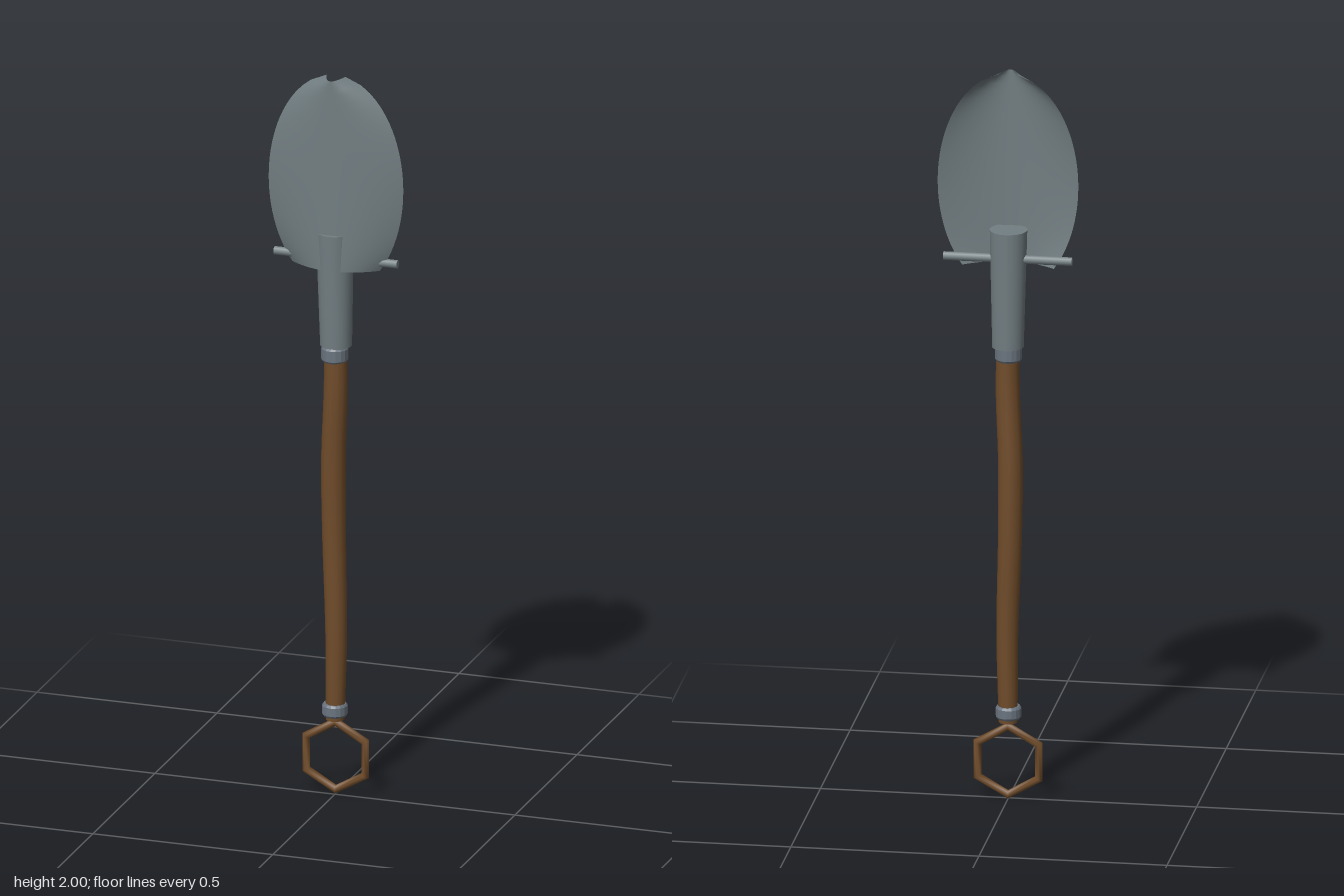
import * as THREE from 'three';

const mat = (name, color, side = THREE.FrontSide) => {
  const m = new THREE.MeshStandardMaterial({ color, side });
  m.name = name;
  return m;
};

export function createModel() {
  const group = new THREE.Group();
  group.name = 'shovel';
  const steel = mat('steel', 0x727e82, THREE.DoubleSide);
  const band = mat('band steel', 0x6a747f);
  const wood = mat('wood', 0x704c2a);

  const add = (name, geometry, material, x = 0, y = 0, z = 0) => {
    const mesh = new THREE.Mesh(geometry, material);
    mesh.name = name;
    mesh.position.set(x, y, z);
    group.add(mesh);
    return mesh;
  };

  // Blade: elliptical outline, each row an equally deep parabola bowed forward
  const blade = new THREE.PlaneGeometry(2, 1, 24, 28);
  const p = blade.attributes.position;
  for (let i = 0; i < p.count; i++) {
    const u = p.getX(i);
    const y = 1.735 + p.getY(i) * 0.53;
    const halfWidth = 0.187 * Math.sqrt(1 - ((y - 1.7) / 0.303) ** 2);
    p.setXYZ(i, u * halfWidth, y, -0.009 + 0.047 * (1 - u * u));
  }
  blade.computeVertexNormals();
  add('blade', blade, steel);

  // Socket: tapered tube leaning slightly forward at the top
  const socket = new THREE.CylinderGeometry(0.05, 0.042, 0.32, 20);
  const s = socket.attributes.position;
  for (let i = 0; i < s.count; i++) s.setZ(i, s.getZ(i) - 0.005 + s.getY(i) * 0.03);
  add('socket', socket, steel, 0, 1.41, 0);

  // Foot bar behind the blade
  const bar = new THREE.CylinderGeometry(0.012, 0.012, 0.342, 8);
  bar.rotateZ(Math.PI / 2);
  add('footBar', bar, steel, 0, 1.493, -0.011);

  // Handle: slightly crooked shaft following a curve
  const path = new THREE.CatmullRomCurve3([
    [0.001, 0.21, 0], [0.003, 0.45, -0.002], [-0.005, 0.72, -0.008],
    [-0.006, 0.93, -0.006], [0.002, 1.12, 0], [0.002, 1.27, 0],
  ].map((a) => new THREE.Vector3(...a)));
  const handle = new THREE.CylinderGeometry(1, 1, 1, 14, 24);
  const h = handle.attributes.position;
  for (let i = 0; i < h.count; i++) {
    const t = h.getY(i) + 0.5;
    const c = path.getPoint(t);
    const r = 0.025 + 0.005 * t + 0.005 * Math.sin(Math.PI * t);
    h.setXYZ(i, c.x + h.getX(i) * r, c.y, c.z + h.getZ(i) * r);
  }
  handle.computeVertexNormals();
  add('handle', handle, wood);

  // Metal bands with chamfered rims
  const addBand = (name, y, r, height) => {
    const e = height / 2;
    const profile = [[0, -e], [r - 0.004, -e], [r, -e + 0.006], [r, e - 0.006], [r - 0.004, e], [0, e]];
    const lathe = new THREE.LatheGeometry(profile.map((a) => new THREE.Vector2(...a)), 16);
    const flat = lathe.toNonIndexed();
    flat.computeVertexNormals();
    add(name, flat, band, 0, y, 0);
  };
  addBand('upperBand', 1.23, 0.036, 0.042);
  addBand('lowerBand', 0.238, 0.034, 0.035);

  // Six-sided grip ring
  const ring = new THREE.TorusGeometry(0.094, 0.012, 8, 6);
  ring.rotateZ(Math.PI / 6);
  add('gripRing', ring, wood, 0, 0.106, -0.007);

  return group;
}
